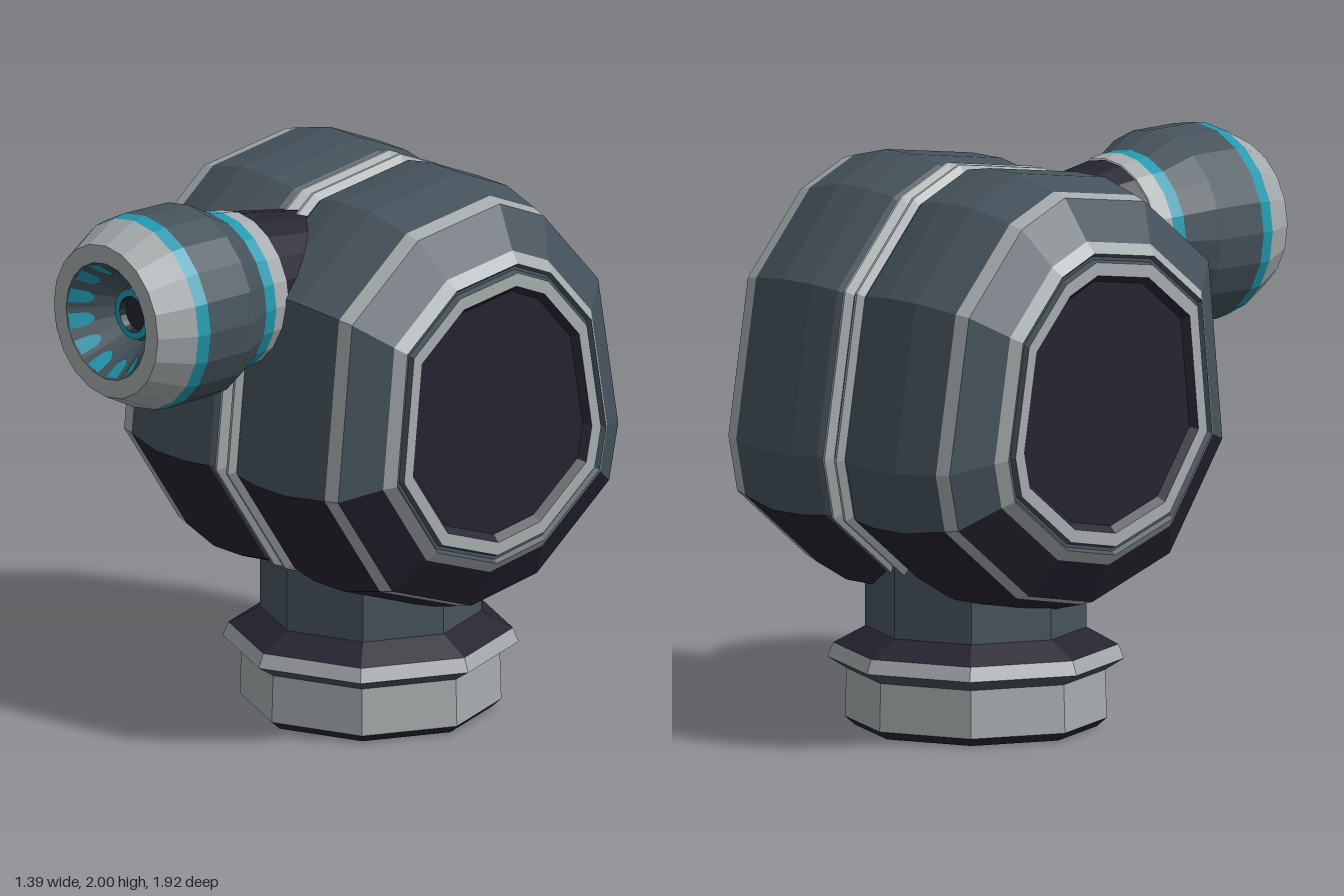
import * as THREE from 'three';

const material = (name, color) => {
  const m = new THREE.MeshStandardMaterial({ color });
  m.name = name;
  return m;
};

// Splits shared corners so every facet is flat
function flat(geometry) {
  const g = geometry.index ? geometry.toNonIndexed() : geometry;
  g.computeVertexNormals();
  return g;
}

function addMesh(parent, name, geometry, mat) {
  const mesh = new THREE.Mesh(geometry, mat);
  mesh.name = name;
  parent.add(mesh);
  return mesh;
}

function addLathe(parent, name, points, sides, mat) {
  const profile = points.map(([r, y]) => new THREE.Vector2(r, y));
  return addMesh(parent, name, flat(new THREE.LatheGeometry(profile, sides)), mat);
}

// Side outline of the body as [z, y], clockwise from the top
const CENTRE = [-0.26, 1.22];
const OUTLINE = [
  [-0.37, 2.0], [-0.59, 1.905], [-0.86, 1.6], [-0.96, 1.01], [-0.915, 0.795], [-0.555, 0.505],
  [-0.23, 0.445], [0.165, 0.585], [0.435, 0.99], [0.365, 1.675], [0.037, 1.94],
];
const ALL = OUTLINE.map((_, i) => i);
const LOWER = [4, 5, 6, 7];
const UPPER = ALL.filter((i) => !LOWER.includes(i));

// Skins the chosen outline facets through [x, scale] stations, on both halves
function shell(stations, facets) {
  const pos = [];
  const corner = (i, [x, s], side) => {
    const [z, y] = OUTLINE[i % OUTLINE.length];
    return [side * x, CENTRE[1] + (y - CENTRE[1]) * s, CENTRE[0] + (z - CENTRE[0]) * s];
  };
  for (const side of [1, -1]) {
    for (let k = 0; k < stations.length - 1; k++) {
      for (const i of facets) {
        const a = corner(i, stations[k], side);
        const b = corner(i + 1, stations[k], side);
        const c = corner(i + 1, stations[k + 1], side);
        const d = corner(i, stations[k + 1], side);
        const quad = side > 0 ? [a, d, c, a, c, b] : [a, c, d, a, b, c];
        quad.forEach((p) => pos.push(...p));
      }
    }
  }
  const g = new THREE.BufferGeometry();
  g.setAttribute('position', new THREE.Float32BufferAttribute(pos, 3));
  return flat(g);
}

export function createModel() {
  const light = material('light grey', 0xa6abad);
  const slate = material('slate', 0x46535c);
  const navy = material('dark navy', 0x252430);
  const teal = material('teal', 0x2098ae);
  const model = new THREE.Group();
  model.name = 'turret';

  // Octagonal pedestal
  const base = new THREE.Group();
  base.name = 'pedestal';
  base.position.z = CENTRE[0];
  model.add(base);
  addLathe(base, 'foot', [[0, 0], [0.42, 0], [0.455, 0.03]], 8, navy);
  addLathe(base, 'footBand', [[0.455, 0.03], [0.45, 0.2]], 8, light);
  addLathe(base, 'flangeUnderside', [[0.45, 0.2], [0.515, 0.24]], 8, slate);
  addLathe(base, 'flangeRim', [[0.515, 0.24], [0.495, 0.29]], 8, light);
  addLathe(base, 'flangeTop', [[0.495, 0.29], [0.385, 0.35]], 8, navy);
  addLathe(base, 'neck', [[0.385, 0.35], [0.385, 0.75]], 8, slate);

  // Drum body, from the middle seam outwards
  const body = new THREE.Group();
  body.name = 'body';
  model.add(body);
  const barrel = [[0.075, 0.975], [0.19, 1], [0.34, 1], [0.51, 0.945]];
  const shoulder = [[0.565, 0.925], [0.655, 0.74]];
  addMesh(body, 'seam', shell([[0, 0.945], [0.008, 0.945]], ALL), slate);
  addMesh(body, 'seamRibs', shell([[0.008, 0.945], [0.025, 0.99], [0.035, 0.99], [0.053, 0.955]], ALL), light);
  addMesh(body, 'seamEdges', shell([[0.053, 0.955], [0.075, 0.975]], ALL), slate);
  addMesh(body, 'barrelUpper', shell(barrel, UPPER), slate);
  addMesh(body, 'barrelLower', shell(barrel, LOWER), navy);
  addMesh(body, 'outerStripes', shell([[0.51, 0.945], [0.565, 0.925]], ALL), light);
  addMesh(body, 'shoulderUpper', shell(shoulder, UPPER), slate);
  addMesh(body, 'shoulderLower', shell(shoulder, LOWER), navy);
  addMesh(body, 'edgeStripes', shell([[0.655, 0.74], [0.69, 0.69]], ALL), light);
  addMesh(body, 'sideGrooves', shell([[0.69, 0.69], [0.675, 0.675], [0.675, 0.66], [0.695, 0.65]], ALL), slate);
  addMesh(body, 'panelFrames', shell([[0.695, 0.65], [0.695, 0.59]], ALL), light);
  addMesh(body, 'sidePanels', shell([[0.695, 0.59], [0.67, 0.56], [0.67, 0]], ALL), navy);

  // Forward nozzle, built upright and laid along z
  const nozzle = new THREE.Group();
  nozzle.name = 'nozzle';
  nozzle.position.y = 1.655;
  model.add(nozzle);
  const parts = [
    ['arm', navy, [[0.17, -0.2], [0.265, 0.35]]],
    ['rearCollar', light, [[0.27, 0.35], [0.282, 0.42]]],
    ['rearBand', teal, [[0.282, 0.42], [0.287, 0.47]]],
    ['casing', slate, [[0.287, 0.47], [0.345, 0.58], [0.348, 0.78]]],
    ['frontBand', teal, [[0.348, 0.78], [0.34, 0.83]]],
    ['muzzle', light, [[0.34, 0.83], [0.275, 0.96], [0.21, 0.96]]],
    ['bowl', slate, [[0.21, 0.96], [0.1, 0.81], [0.09, 0.81]]],
    ['hubRing', teal, [[0.09, 0.81], [0.09, 0.84], [0.065, 0.84]]],
    ['hub', navy, [[0.065, 0.84], [0.06, 0.815], [0, 0.815]]],
  ];
  for (const [name, mat, points] of parts) {
    addLathe(nozzle, name, points, 20, mat).rotation.x = Math.PI / 2;
  }

  // Ring of rounded vents lying on the sloping bowl
  const vent = new THREE.Shape();
  vent.moveTo(0.045, -0.028);
  vent.lineTo(0.045, 0.028);
  vent.lineTo(-0.02, 0.022);
  vent.quadraticCurveTo(-0.07, 0, -0.02, -0.022);
  const ventGeometry = new THREE.ShapeGeometry(vent, 5);
  ventGeometry.rotateY(-Math.atan2(0.15, 0.11));
  ventGeometry.translate(0.175, 0, 0.921);
  const count = 13;
  for (let i = 0; i < count; i++) {
    addMesh(nozzle, 'vent', ventGeometry, teal).rotation.z = (i / count) * Math.PI * 2;
  }
  return model;
}
